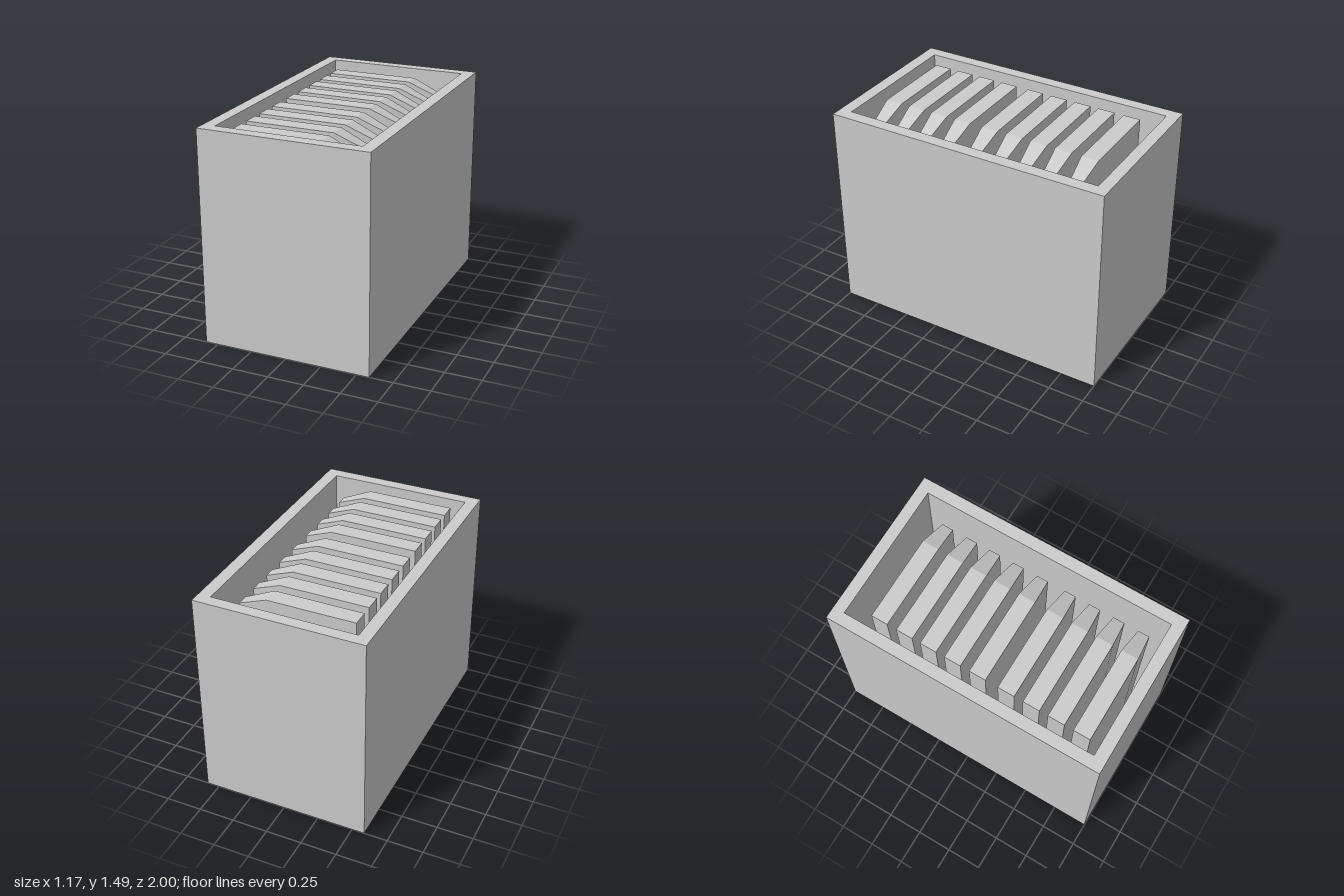
import * as THREE from 'three';

const HEIGHT = 1.49, FLOOR = 0.09;
const grey = new THREE.MeshStandardMaterial({ color: 0xcccccc, flatShading: true });

// Rectangle outline in the ground plane
function rect(target, x0, x1, z0, z1) {
  target.moveTo(x0, z0);
  target.lineTo(x1, z0);
  target.lineTo(x1, z1);
  target.lineTo(x0, z1);
  target.closePath();
  return target;
}

// Upright divider: flat top that slopes down and narrows towards +x
function dividerGeometry() {
  const stations = [
    { x: -0.42, top: HEIGHT - 0.03, half: 0.06 },
    { x: 0.195, top: HEIGHT - 0.03, half: 0.06 },
    { x: 0.4, top: HEIGHT - 0.117, half: 0.041 },
  ];
  const geometry = new THREE.BoxGeometry(2, 2, 2, 2, 1, 1);
  const p = geometry.attributes.position;
  for (let i = 0; i < p.count; i++) {
    const s = stations[Math.round(p.getX(i)) + 1];
    p.setXYZ(i, s.x, p.getY(i) > 0 ? s.top : FLOOR, Math.sign(p.getZ(i)) * s.half);
  }
  const flat = geometry.toNonIndexed();
  flat.computeVertexNormals();
  return flat;
}

export function createModel() {
  const model = new THREE.Group();
  model.name = 'dividerBox';

  // Four walls as one hollow extrusion
  const outline = rect(new THREE.Shape(), -0.587, 0.587, -1, 1);
  outline.holes.push(rect(new THREE.Path(), -0.502, 0.5, -0.913, 0.918));
  const wallGeometry = new THREE.ExtrudeGeometry(outline, { depth: HEIGHT, bevelEnabled: false });
  wallGeometry.rotateX(-Math.PI / 2);
  const walls = new THREE.Mesh(wallGeometry, grey);
  walls.name = 'walls';
  model.add(walls);

  // Floor closing the cavity
  const floor = new THREE.Mesh(new THREE.BoxGeometry(1.002, FLOOR, 1.831), grey);
  floor.name = 'floor';
  floor.position.set(-0.001, FLOOR / 2, -0.0025);
  model.add(floor);

  // Row of dividers, slightly uneven in spacing
  const geometry = dividerGeometry();
  const dividers = new THREE.Group();
  dividers.name = 'dividers';
  [-0.708, -0.519, -0.34, -0.159, 0.026, 0.236, 0.419, 0.599, 0.782].forEach((z, i) => {
    const divider = new THREE.Mesh(geometry, grey);
    divider.name = `divider${i + 1}`;
    divider.position.z = z;
    dividers.add(divider);
  });
  model.add(dividers);

  return model;
}
